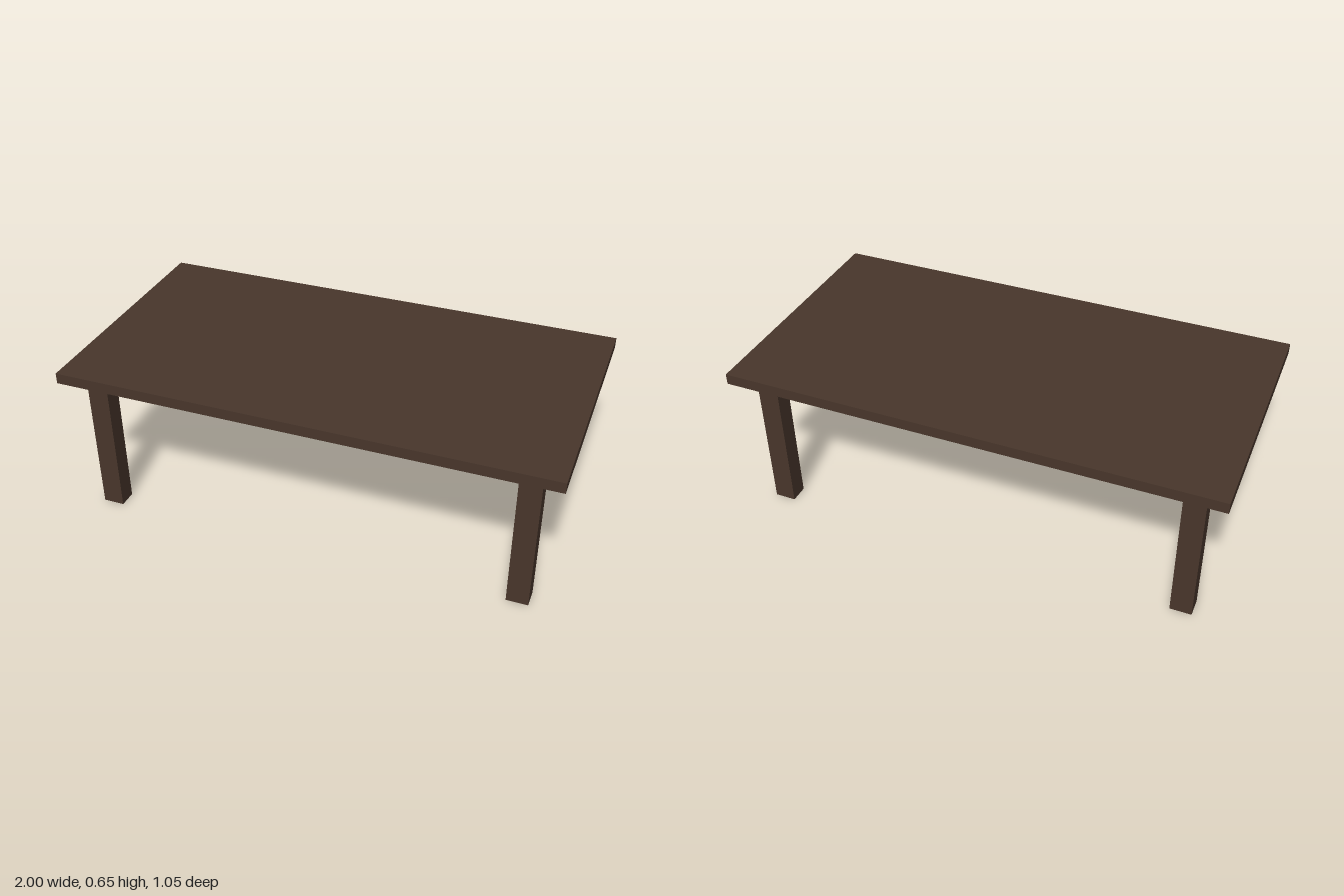
import * as THREE from 'three';

export function createModel() {
  const table = new THREE.Group();
  table.name = 'table';
  const wood = new THREE.MeshStandardMaterial({ color: 0x48362b });

  const addBox = (name, w, h, d, x, y, z) => {
    const mesh = new THREE.Mesh(new THREE.BoxGeometry(w, h, d), wood);
    mesh.name = name;
    mesh.position.set(x, y, z);
    table.add(mesh);
  };

  const legHeight = 0.609;
  const topThickness = 0.044;

  // Flat rectangular top
  addBox('tableTop', 2, topThickness, 1.046, 0, legHeight + topThickness / 2, 0);

  // Four straight legs, inset from the corners
  for (const [side, x] of [['Left', 0.87], ['Right', -0.87]]) {
    for (const [end, z] of [['front', 0.413], ['back', -0.413]]) {
      addBox(`${end}${side}Leg`, 0.087, legHeight, 0.075, x, legHeight / 2, z);
    }
  }

  return table;
}
